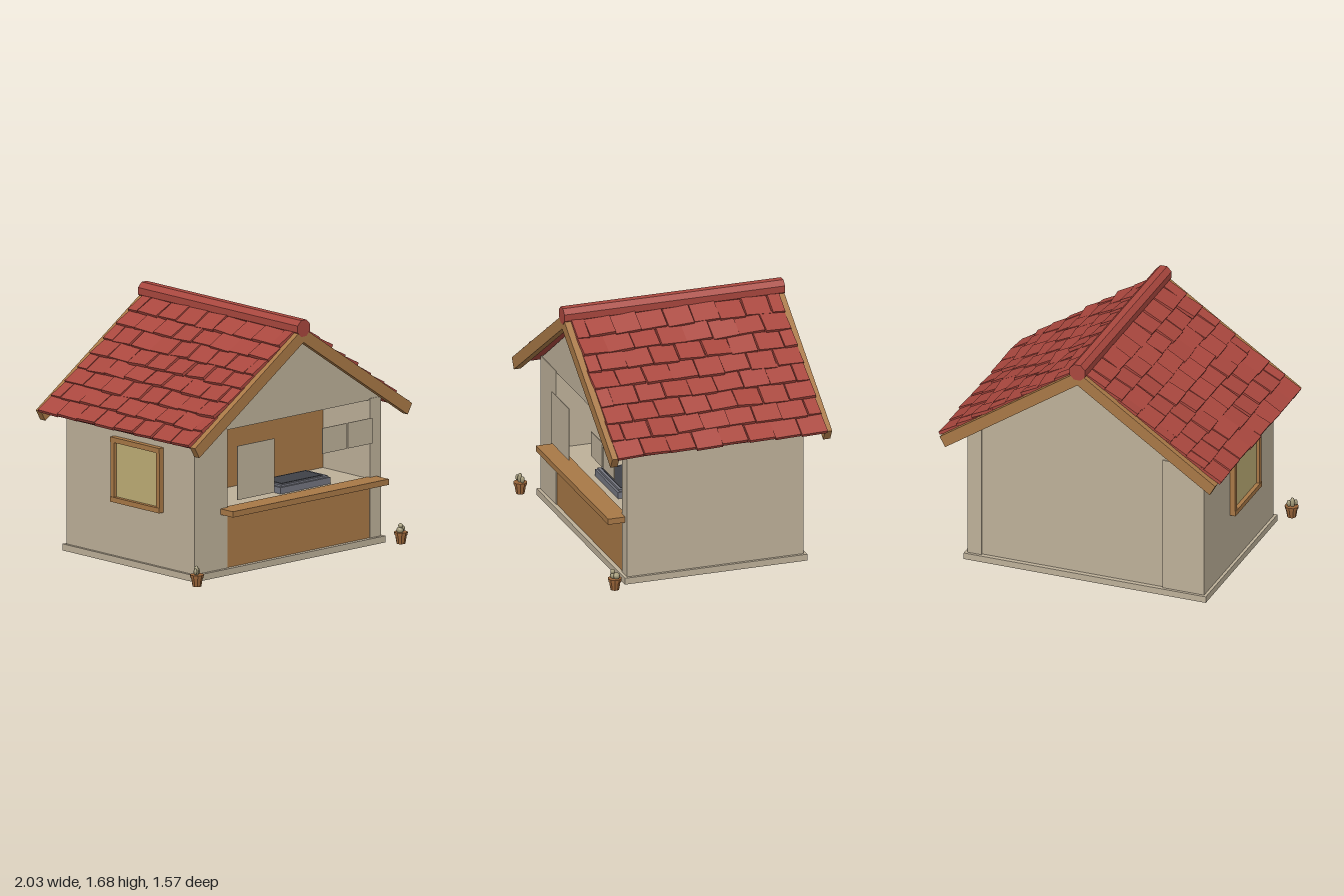
import * as THREE from 'three';

const paint = (name, color) => {
  const m = new THREE.MeshStandardMaterial({ color });
  m.name = name;
  return m;
};

export function createModel() {
  const root = new THREE.Group();
  root.name = 'marketHut';
  const plaster = paint('plaster', 0xbdb099);
  const wood = paint('wood', 0xa87846);
  const tileRed = paint('tileRed', 0xa9473e);
  const clay = paint('clay', 0x9a6539);
  const steel = paint('steel', 0x73757f);
  const iron = paint('iron', 0x3f4147);
  const glass = paint('glass', 0xbfae76);
  const cactusSkin = paint('cactusSkin', 0xa39a78);

  let seed = 7;
  const jitter = (amount) => {
    seed = (seed * 16807) % 2147483647;
    return (seed / 2147483647 - 0.5) * 2 * amount;
  };
  const add = (name, geometry, material, parent = root) => {
    const mesh = new THREE.Mesh(geometry, material);
    mesh.name = name;
    parent.add(mesh);
    return mesh;
  };
  // Box given by its limits on each axis
  const block = (name, material, x0, x1, y0, y1, z0, z1, parent = root) => {
    const mesh = add(name, new THREE.BoxGeometry(x1 - x0, y1 - y0, z1 - z0), material, parent);
    mesh.position.set((x0 + x1) / 2, (y0 + y1) / 2, (z0 + z1) / 2);
    return mesh;
  };
  const faceted = (geometry) => {
    const g = geometry.toNonIndexed();
    g.computeVertexNormals();
    return g;
  };
  // Outline in x and y, extruded between two depths
  const prism = (name, material, points, z0, z1) => {
    const shape = new THREE.Shape(points.map(([x, y]) => new THREE.Vector2(x, y)));
    const geometry = new THREE.ExtrudeGeometry(shape, { depth: z1 - z0, bevelEnabled: false });
    geometry.translate(0, 0, z0);
    return add(name, geometry, material);
  };

  // Base and walls
  block('base', plaster, -0.87, 0.87, 0, 0.045, -0.648, 0.648);
  block('rightWall', plaster, -0.85, -0.55, 0.045, 1, -0.628, 0.625);
  block('leftWall', plaster, 0.75, 0.85, 0.045, 1, -0.628, 0.625);
  block('backRoom', plaster, -0.55, 0.75, 0.045, 0.995, -0.615, 0.155);
  block('innerWorktop', plaster, -0.55, 0.75, 0.045, 0.45, 0.155, 0.61);
  prism('gable', plaster, [[-0.85, 0.99], [0.85, 0.99], [0, 1.58]], -0.62, 0.62);

  // Serving hatch
  block('backPanel', wood, -0.55, 0.75, 0.45, 0.93, 0.155, 0.163);
  block('frontPanel', wood, -0.55, 0.75, 0.045, 0.42, 0.61, 0.618);
  block('counter', wood, -0.612, 0.81, 0.42, 0.46, 0.6, 0.745);

  // Grill on the worktop
  block('grillBody', steel, 0.005, 0.46, 0.45, 0.495, 0.31, 0.55);
  block('grillRim', steel, 0.02, 0.445, 0.495, 0.508, 0.325, 0.535);
  block('grillPlate', iron, 0.045, 0.42, 0.508, 0.512, 0.345, 0.515);

  // Hanging menu boards
  [[-0.505, -0.165, 0.51], [0.27, 0.492, 0.705], [0.505, 0.727, 0.705]].forEach(([x0, x1, y0]) =>
    block('menuBoard', plaster, x0, x1, y0, 0.88, 0.668, 0.673));

  // Side window
  const sideWindow = new THREE.Group();
  sideWindow.name = 'sideWindow';
  root.add(sideWindow);
  block('pane', glass, -0.862, -0.85, 0.44, 0.85, -0.13, 0.3, sideWindow);
  for (const [y0, y1] of [[0.42, 0.455], [0.83, 0.865]])
    block('frameRail', wood, -0.89, -0.85, y0, y1, -0.16, 0.32, sideWindow);
  for (const [z0, z1] of [[-0.16, -0.125], [0.285, 0.32]])
    block('frameStile', wood, -0.886, -0.85, 0.455, 0.83, z0, z1, sideWindow);

  // Roof slab, verge beams and ridge
  const slope = 0.677;
  const angle = Math.atan(slope);
  const band = (top, bottom, x) => [
    [-x, top - slope * x], [0, top], [x, top - slope * x],
    [x - 0.04, bottom - slope * (x - 0.04)], [0, bottom], [-x + 0.04, bottom - slope * (x - 0.04)],
  ].reverse();
  prism('roofSlab', tileRed, band(1.62, 1.575, 0.985), -0.735, 0.735);
  for (const z of [-0.78, 0.73])
    prism('vergeBeam', wood, band(1.628, 1.53, 0.99), z, z + 0.05);
  const ridge = add('ridge', faceted(new THREE.CylinderGeometry(0.061, 0.061, 1.565, 8)), tileRed);
  ridge.rotation.set(Math.PI / 2, Math.PI / 8, 0);
  ridge.position.y = 1.627;

  // Staggered, slightly twisted roof tiles
  const rows = 8, perRow = 8, half = 0.742;
  const width = (2 * half) / perRow;
  for (const side of [1, -1]) {
    const tiles = new THREE.Group();
    tiles.name = side > 0 ? 'leftTiles' : 'rightTiles';
    tiles.position.y = 1.62;
    tiles.rotation.z = -side * angle;
    root.add(tiles);
    for (let row = 0; row < rows; row++) {
      const lowEnd = 1.2 - row * 0.142;
      const shift = row % 2 ? width / 2 : 0;
      for (let i = 0; i <= perRow; i++) {
        const z0 = Math.max(-half, -half + i * width - shift);
        const z1 = Math.min(half, -half + (i + 1) * width - shift);
        if (z1 - z0 < 0.02) continue;
        const length = 0.168 + jitter(0.008);
        const tile = add('roofTile', new THREE.BoxGeometry(length, 0.022, z1 - z0 - 0.006), tileRed, tiles);
        tile.position.set(side * (lowEnd - length / 2 + jitter(0.006)), 0.011 + jitter(0.003), (z0 + z1) / 2 + jitter(0.004));
        tile.rotation.set(jitter(0.09), jitter(0.025), side * (0.1 + jitter(0.05)));
      }
    }
  }

  // Potted cacti; lobes are x, y, z, radius, stretch
  const potted = (x, lobes) => {
    const plant = new THREE.Group();
    plant.name = 'pottedCactus';
    plant.position.set(x, 0, 0.74);
    root.add(plant);
    const pot = add('pot', faceted(new THREE.CylinderGeometry(0.041, 0.03, 0.065, 10)), clay, plant);
    pot.position.y = 0.0325;
    const rim = add('potRim', faceted(new THREE.CylinderGeometry(0.047, 0.045, 0.02, 10)), clay, plant);
    rim.position.y = 0.07;
    for (const [lx, ly, lz, r, stretch] of lobes) {
      const lobe = add('cactusLobe', new THREE.SphereGeometry(r, 8, 6), cactusSkin, plant);
      lobe.position.set(lx, ly, lz);
      lobe.scale.y = stretch;
    }
  };
  potted(-0.935, [[-0.006, 0.105, 0, 0.017, 2.2], [-0.026, 0.105, 0.012, 0.012, 1.8], [0.017, 0.1, -0.01, 0.015, 1.6]]);
  potted(0.925, [[-0.014, 0.095, 0.005, 0.024, 1], [0.014, 0.1, -0.008, 0.023, 1], [-0.012, 0.125, 0.01, 0.017, 1]]);

  return root;
}
